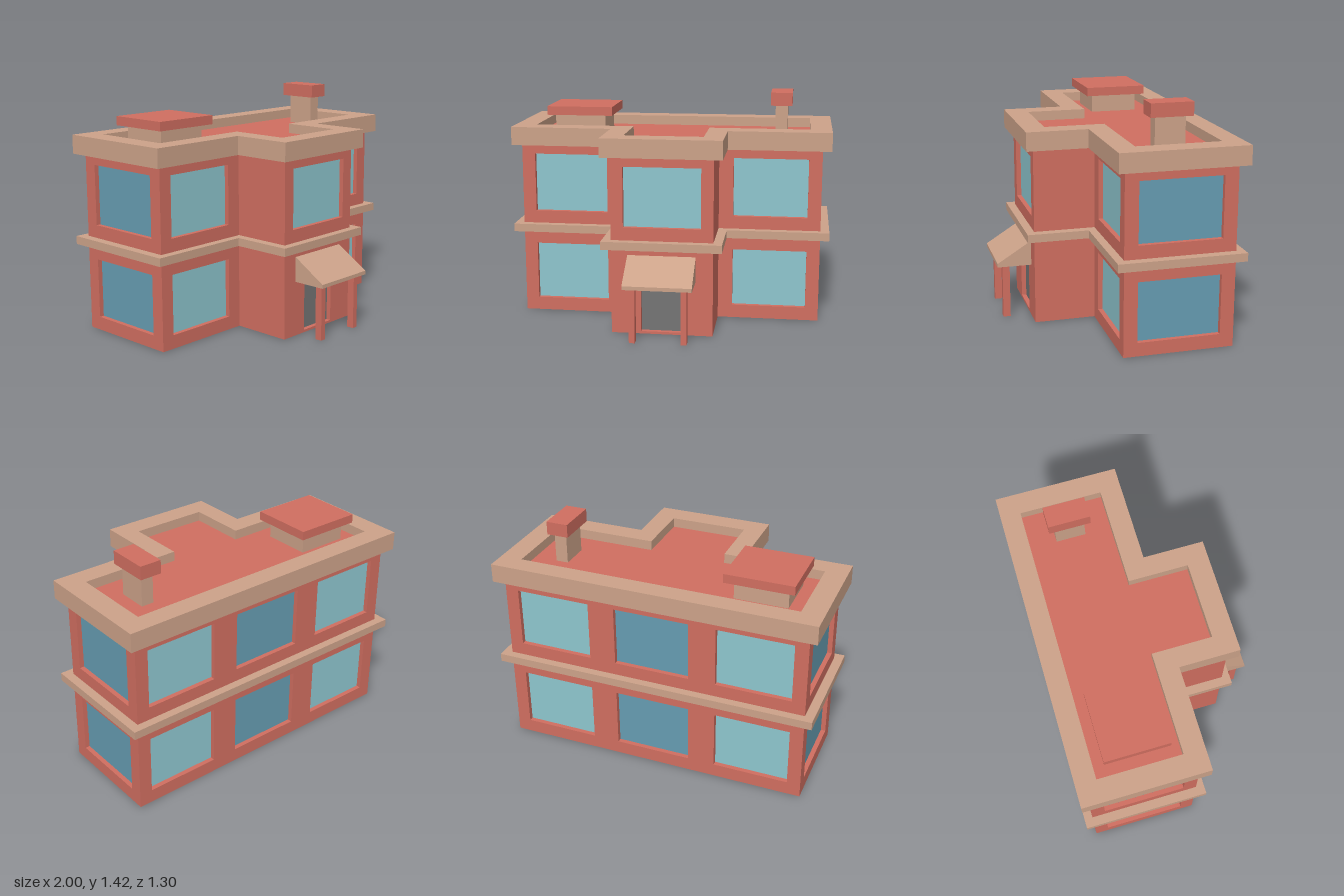
import * as THREE from 'three';

const mat = (name, color) => new THREE.MeshStandardMaterial({ name, color });

export function createModel() {
  const brick = mat('red brick', 0xd06e60);
  const stone = mat('tan stone', 0xcca289);
  const paleGlass = mat('pale glass', 0x8ec6ce);
  const blueGlass = mat('blue glass', 0x669cb1);
  const doorGrey = mat('door grey', 0x747474);

  const house = new THREE.Group();
  house.name = 'house';
  const add = (name, geometry, material, parent = house) => {
    const mesh = new THREE.Mesh(geometry, material);
    mesh.name = name;
    parent.add(mesh);
    return mesh;
  };
  const box = (name, material, x0, x1, y0, y1, z0, z1) => {
    const mesh = add(name, new THREE.BoxGeometry(x1 - x0, y1 - y0, z1 - z0), material);
    mesh.position.set((x0 + x1) / 2, (y0 + y1) / 2, (z0 + z1) / 2);
    return mesh;
  };

  // T-shaped footprint: wing half width, back z, wing front z, bay half width, bay front z
  const footprint = (w, back, front, bay, bayFront) => [
    [-w, back], [-w, front], [-bay, front], [-bay, bayFront],
    [bay, bayFront], [bay, front], [w, front], [w, back],
  ].map(([x, z]) => new THREE.Vector2(x, -z));
  const slab = (name, material, outline, y0, y1, hole) => {
    const shape = new THREE.Shape(outline);
    if (hole) shape.holes.push(new THREE.Path(hole));
    const geometry = new THREE.ExtrudeGeometry(shape, { depth: y1 - y0, bevelEnabled: false });
    geometry.rotateX(-Math.PI / 2).translate(0, y0, 0);
    add(name, geometry, material);
  };

  // Inner core, belt course, parapet and recessed roof deck
  const R = 0.035, top = 1.095;
  const eaves = footprint(1, -0.65, 0.115, 0.365, 0.49);
  const deck = footprint(0.865, -0.525, -0.015, 0.24, 0.355);
  slab('core', brick, footprint(0.945 - R, -0.6 + R, 0.065 - R, 0.31, 0.44 - R), 0, top);
  slab('beltCourse', stone, eaves, 0.535, 0.585);
  slab('parapet', stone, eaves, top, 1.21, deck);
  slab('roofDeck', brick, deck, top, 1.15);

  // Wall panel with openings [x0, x1, y0, y1, material, name], outer face along local +z
  const rect = (P, x0, x1, y0, y1) => new P([
    [x0, y0], [x1, y0], [x1, y1], [x0, y1],
  ].map(([x, y]) => new THREE.Vector2(x, y)));
  const wall = (name, x0, x1, openings, x, z, turn) => {
    const group = new THREE.Group();
    group.name = name;
    const shape = rect(THREE.Shape, x0, x1, 0, top);
    for (const [a, b, c, d, material, label] of openings) {
      shape.holes.push(rect(THREE.Path, a, b, c, d));
      const pane = add(label, new THREE.BoxGeometry(b - a, d - c, 0.006), material, group);
      pane.position.set((a + b) / 2, (c + d) / 2, 0.003 - R);
    }
    const panel = new THREE.ExtrudeGeometry(shape, { depth: R, bevelEnabled: false });
    add(name + 'Panel', panel.translate(0, 0, -R), brick, group);
    group.position.set(x, 0, z);
    group.rotation.y = turn;
    house.add(group);
  };
  const upper = (a, b, m) => [a, b, 0.665, 1.035, m, 'upperWindow'];
  const lower = (a, b, m) => [a, b, 0.083, 0.45, m, 'lowerWindow'];
  const column = (a, b, m) => [lower(a, b, m), upper(a, b, m)];

  wall('rightWingFront', -0.945, -0.31, column(-0.863, -0.4, paleGlass), 0, 0.065, 0);
  wall('leftWingFront', 0.31, 0.945, column(0.4, 0.863, paleGlass), 0, 0.065, 0);
  wall('bayFront', -0.31, 0.31, [
    upper(-0.235, 0.235, paleGlass),
    [-0.128, 0.126, 0.015, 0.32, doorGrey, 'door'],
  ], 0, 0.44, 0);
  wall('backWall', -0.945, 0.945, [
    ...column(-0.863, -0.4, paleGlass),
    ...column(-0.235, 0.235, blueGlass),
    ...column(0.4, 0.863, paleGlass),
  ], 0, -0.6, Math.PI);
  // Side walls fit between the front and back panels
  for (const s of [-1, 1]) {
    wall(s > 0 ? 'leftWall' : 'rightWall', -0.2975, 0.2975,
      column(-0.25, 0.25, blueGlass), s * 0.945, -0.2675, s * Math.PI / 2);
  }

  // Porch: sloping awning on two posts
  const profile = new THREE.Shape([
    [0.44, 0.34], [0.65, 0.34], [0.65, 0.363], [0.44, 0.495],
  ].map(([z, y]) => new THREE.Vector2(-z, y)));
  const awning = new THREE.ExtrudeGeometry(profile, { depth: 0.415, bevelEnabled: false });
  add('awning', awning.rotateY(Math.PI / 2).translate(-0.21, 0, 0), stone);
  for (const x of [-0.157, 0.153]) box('porchPost', brick, x - 0.018, x + 0.018, 0, 0.34, 0.57, 0.615);

  // Rooftop vent and chimney
  box('ventBase', stone, -0.765, -0.44, 1.14, 1.265, -0.415, -0.118);
  box('ventCap', brick, -0.81, -0.39, 1.265, 1.32, -0.463, -0.073);
  box('chimneyStack', stone, 0.645, 0.722, 1.14, 1.338, -0.358, -0.175);
  box('chimneyCap', brick, 0.615, 0.75, 1.338, 1.42, -0.396, -0.14);

  return house;
}
